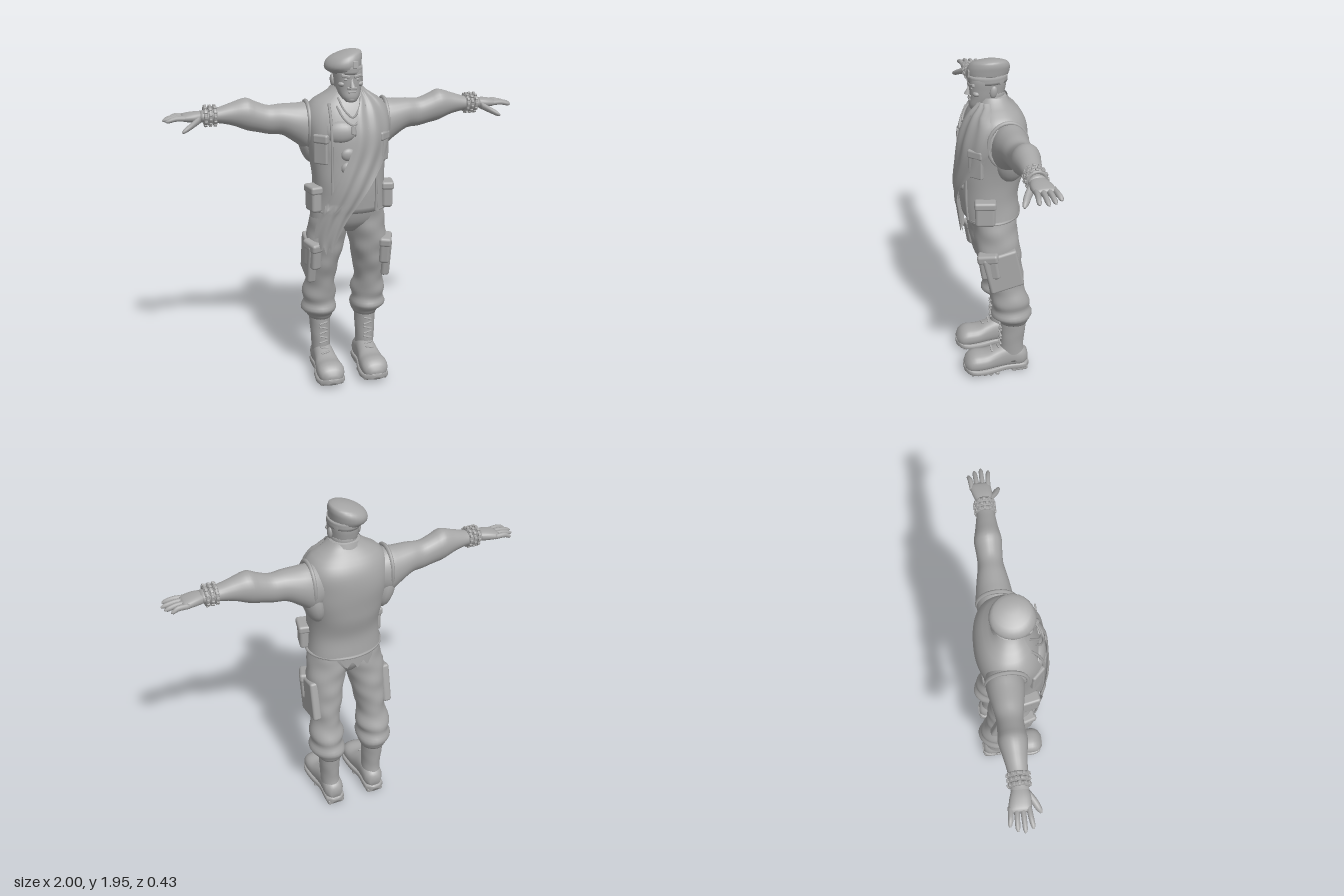
import * as THREE from 'three';
import { mergeVertices } from 'three/addons/utils/BufferGeometryUtils.js';
import { RoundedBoxGeometry } from 'three/addons/geometries/RoundedBoxGeometry.js';

const PI = Math.PI;
const clamp = THREE.MathUtils.clamp, lerp = THREE.MathUtils.lerp;

// Smooth interpolation of a table whose first column is the parameter
function sample(rows, t) {
  const last = rows.length - 1;
  t = clamp(t, rows[0][0], rows[last][0]);
  let i = 0;
  while (i < last - 1 && t > rows[i + 1][0]) i++;
  const a = rows[i], b = rows[i + 1], p = rows[Math.max(i - 1, 0)], q = rows[Math.min(i + 2, last)];
  const h = b[0] - a[0], s = (t - a[0]) / h, s2 = s * s, s3 = s2 * s;
  return a.slice(1).map((va, k) => {
    const vb = b[k + 1];
    const ma = (vb - p[k + 1]) / (b[0] - p[0]) * h, mb = (q[k + 1] - va) / (q[0] - a[0]) * h;
    return (2 * s3 - 3 * s2 + 1) * va + (s3 - 2 * s2 + s) * ma + (3 * s2 - 2 * s3) * vb + (s3 - s2) * mb;
  });
}

// Grid surface from a rule (u, v) -> [x, y, z]
function sheet(nu, nv, fn) {
  const pos = [], idx = [];
  for (let j = 0; j <= nv; j++) for (let i = 0; i <= nu; i++) pos.push(...fn(i / nu, j / nv));
  for (let j = 0; j < nv; j++) for (let i = 0; i < nu; i++) {
    const a = j * (nu + 1) + i, b = a + 1, c = a + nu + 1, d = c + 1;
    idx.push(a, b, d, a, d, c);
  }
  let g = new THREE.BufferGeometry();
  g.setAttribute('position', new THREE.Float32BufferAttribute(pos, 3));
  g.setIndex(idx);
  g = mergeVertices(g, 1e-5);
  g.computeVertexNormals();
  return g;
}

// Rounded cross-sections along an axis; rows are [t, centre1, centre2, radius1, radius2]
// y: centres are x, z    x: centres are y, z    z: centres are x, y
function loft(axis, rows, { nu = 24, nv = 24, n = 2, a0 = 0, a1 = 2 * PI, cap = true, fold = 0, freq = 40, shear = 0 } = {}) {
  const lo = rows[0][0], hi = rows[rows.length - 1][0], ends = cap ? 1 : 0, m = nv + 2 * ends;
  return sheet(nu, m, (u, v) => {
    const j = Math.round(v * m), t = lerp(lo, hi, clamp((j - ends) / nv, 0, 1));
    const [c1, c2, r1, r2] = sample(rows, t), a = lerp(a0, a1, u);
    let k = cap && (j === 0 || j === m) ? 0 : 1;
    k *= 1 + fold * Math.sin(3 * a + t * freq) + fold * 0.6 * Math.sin(2 * a - t * freq * 1.6);
    const pw = (w) => Math.sign(w) * Math.abs(w) ** (2 / n) * k;
    const p = c1 + r1 * pw(Math.cos(a)), q = c2 + r2 * pw(Math.sin(axis === 'y' ? -a : a));
    return axis === 'y' ? [p, t + shear * p, q] : axis === 'x' ? [t, p, q] : [p, q, t];
  });
}

function place(g, x, y, z, rx = 0, ry = 0, rz = 0) {
  g.applyMatrix4(new THREE.Matrix4().makeRotationFromEuler(new THREE.Euler(rx, ry, rz)));
  return g.translate(x, y, z);
}
const box = (w, h, d, ...at) => place(new RoundedBoxGeometry(w, h, d, 2, Math.min(w, h, d) * 0.3), ...at);
const ball = (rx, ry, rz, ...at) => place(new THREE.SphereGeometry(1, 18, 12).scale(rx, ry, rz), ...at);
const tube = (pts, r, closed = false) =>
  new THREE.TubeGeometry(new THREE.CatmullRomCurve3(pts.map((p) => new THREE.Vector3(...p)), closed), 40, r, 6, closed);

function mirrored(geo) {
  const g = mergeVertices(geo.clone());
  g.scale(-1, 1, 1);
  const ix = g.index.array;
  for (let i = 0; i < ix.length; i += 3) [ix[i], ix[i + 1]] = [ix[i + 1], ix[i]];
  return g;
}

const VEST = [
  [1.06, 0, 0.02, 0.215, 0.165], [1.2, 0, 0.03, 0.2, 0.17], [1.35, 0, 0.012, 0.212, 0.183], [1.5, 0, 0, 0.235, 0.184],
  [1.6, 0, -0.01, 0.232, 0.165], [1.67, 0, -0.01, 0.195, 0.13], [1.72, 0, -0.003, 0.115, 0.085], [1.75, 0, 0, 0.085, 0.075],
];
// Front of the torso at a given x and y
function frontZ(x, y) {
  const [, cz, rx, rz] = sample(VEST, y);
  const k = Math.min(Math.abs(x / rx), 0.97);
  return cz + rz * (1 - k ** 2.3) ** (1 / 2.3);
}

export function createModel() {
  const model = new THREE.Group();
  const grey = new THREE.MeshStandardMaterial({ color: 0xa6a6a6, side: THREE.DoubleSide });
  grey.name = 'plain grey';
  const add = (name, geo) => {
    const m = new THREE.Mesh(geo, grey);
    m.name = name;
    model.add(m);
  };
  const both = (name, geo) => { add(name + 'Left', geo); add(name + 'Right', mirrored(geo)); };

  // Torso, chest muscles and vest
  add('torso', loft('y', VEST.map(([y, x, z, a, b]) => [y, x, z, a * 0.94, b * 0.93]), { n: 2.3, nu: 32 }));
  both('chestMuscle', ball(0.085, 0.06, 0.035, 0.075, 1.52, 0.147, -0.15, 0.25));
  for (let i = 0; i < 3; i++) both('stomachMuscle', ball(0.04, 0.035, 0.02, 0.038, 1.4 - i * 0.075, 0.178, 0.05));
  add('vest', loft('y', VEST, { n: 2.3, nu: 48, nv: 30, a0: -PI / 2 + 0.62, a1: 1.5 * PI - 0.62, cap: false, fold: 0.006, freq: 22 }));
  both('vestEdge', tube([1.07, 1.2, 1.35, 1.5, 1.6, 1.67].map((y) => [0.125, y, frontZ(0.125, y)]), 0.008));
  const hem = [];
  for (let i = 0; i <= 30; i++) {
    const a = lerp(0.72, 2 * PI - 0.72, i / 30);
    hem.push([0.216 * Math.sin(a), 1.07, 0.02 + 0.167 * Math.cos(a)]);
  }
  add('vestHem', tube(hem, 0.009));
  add('collar', loft('y', [[1.66, 0, 0.015, 0.125, 0.115], [1.7, 0, 0.0, 0.105, 0.095], [1.75, 0, -0.005, 0.085, 0.075]],
    { nv: 6, a0: -PI / 2 + 0.7, a1: 1.5 * PI - 0.7, cap: false }));
  both('armholeTrim', place(new THREE.TorusGeometry(0.115, 0.011, 6, 28).scale(0.92, 1.1, 1), 0.222, 1.54, -0.035, 0, PI / 2, 0));

  // Vest pockets
  both('chestPocket', box(0.085, 0.15, 0.03, 0.175, 1.42, 0.125, 0, 0.8));
  both('chestPocketFlap', box(0.092, 0.05, 0.04, 0.175, 1.485, 0.127, 0, 0.8));
  both('hipPocket', box(0.06, 0.13, 0.11, 0.212, 1.135, 0.085, 0, -0.2));
  both('hipPocketFlap', box(0.07, 0.045, 0.12, 0.213, 1.197, 0.085, 0, -0.2));

  // Torn sash across the chest, and its ragged tail round the waist
  const SASH = [[0.8, -0.22, -0.12], [0.9, -0.235, -0.1], [1.02, -0.205, -0.05], [1.1, -0.17, 0], [1.25, -0.1, 0.1],
    [1.4, -0.03, 0.195], [1.5, 0, 0.232], [1.62, 0.02, 0.225], [1.69, 0.045, 0.16], [1.73, 0.05, 0.1]];
  const zig = (u, f) => Math.abs(((u * f) % 1) * 2 - 1);
  add('sash', sheet(24, 50, (u, v) => {
    const y = lerp(0.95 - 0.13 * Math.sin(u * PI * 0.75) + 0.045 * zig(u, 4), 1.73, v), [l, r] = sample(SASH, y);
    const x = lerp(l, r, u), drop = Math.max(0, 1.1 - y);
    return [x, y, frontZ(x * (y < 1.1 ? 0.85 : 1), y) + 0.014 - 0.1 * drop + 0.005 * Math.sin(u * 16 + y * 8)];
  }));
  add('raggedTail', sheet(48, 6, (u, v) => {
    const a = lerp(-0.7, -3.5, u), y = lerp(0.94 + 0.05 * zig(u, 9) + 0.05 * u, 1.1, v);
    return [0.215 * Math.sin(a), y, 0.015 + 0.155 * Math.cos(a)];
  }));

  // Necklaces with a hanging tag
  for (const [w, low] of [[0.065, 1.6], [0.08, 1.56]]) {
    add('necklace', tube([-1, -0.6, 0, 0.6, 1].map((k) => {
      const y = low + 0.1 * k * k;
      return [k * w - 0.01, y, frontZ(k * w, y) + 0.008];
    }), 0.006));
  }
  add('necklaceTag', box(0.022, 0.045, 0.009, -0.012, 1.535, frontZ(0, 1.535) + 0.014, -0.1));

  // Neck and head
  add('neck', loft('y', [[1.58, 0, -0.01, 0.1, 0.09], [1.66, 0, 0.005, 0.078, 0.075], [1.78, 0, 0.005, 0.068, 0.07]], { nv: 8 }));
  add('head', loft('y', [[1.675, -0.003, 0.085, 0.032, 0.035], [1.7, -0.003, 0.065, 0.053, 0.062], [1.74, -0.003, 0.036, 0.07, 0.088],
    [1.79, -0.003, 0.028, 0.077, 0.098], [1.84, -0.003, 0.025, 0.08, 0.1], [1.88, -0.003, 0.02, 0.07, 0.09]], { n: 2.3 }));
  add('nose', place(new THREE.ConeGeometry(0.017, 0.055, 8).scale(1, 1, 1.2), -0.003, 1.782, 0.128, -0.2));
  add('chin', ball(0.028, 0.02, 0.02, -0.003, 1.69, 0.106));
  add('mouth', box(0.045, 0.011, 0.014, -0.003, 1.73, 0.122));
  add('moustache', box(0.055, 0.014, 0.016, -0.003, 1.75, 0.122));
  for (const s of [-1, 1]) {
    add('brow', box(0.05, 0.016, 0.024, -0.003 + s * 0.032, 1.814, 0.113, 0, s * 0.3, s * 0.2));
    add('cheekbone', ball(0.022, 0.015, 0.02, -0.003 + s * 0.048, 1.77, 0.095));
    add('ear', ball(0.013, 0.033, 0.02, -0.003 + s * 0.08, 1.785, 0.01, -0.15));
    add('eye', ball(0.013, 0.007, 0.006, -0.003 + s * 0.03, 1.796, 0.117));
  }

  // Beret, sagging to one side
  add('beretBand', loft('y', [[1.822, -0.004, 0.024, 0.083, 0.105], [1.862, -0.005, 0.024, 0.084, 0.107]], { nv: 3 }));
  add('beretCrown', loft('y', [[1.845, -0.012, 0.022, 0.084, 0.104], [1.872, -0.024, 0.018, 0.1, 0.114], [1.905, -0.022, 0.014, 0.1, 0.11],
    [1.93, -0.012, 0.014, 0.078, 0.085], [1.942, -0.004, 0.014, 0.03, 0.035]], { nv: 14, shear: 0.22, nu: 28 }));
  add('beretBadge', box(0.03, 0.036, 0.009, 0.015, 1.875, 0.131, -0.1));

  // Arms, wristbands and hands
  both('arm', loft('x', [[0.13, 1.53, -0.04, 0.11, 0.09], [0.22, 1.525, -0.045, 0.135, 0.1], [0.28, 1.545, -0.045, 0.112, 0.095],
    [0.36, 1.57, -0.045, 0.086, 0.08], [0.43, 1.572, -0.045, 0.08, 0.068], [0.5, 1.592, -0.045, 0.084, 0.07],
    [0.55, 1.608, -0.045, 0.089, 0.074], [0.63, 1.613, -0.043, 0.062, 0.06], [0.71, 1.61, -0.04, 0.041, 0.049],
    [0.8, 1.608, -0.04, 0.031, 0.044]], { nv: 40 }));
  both('shoulderMuscle', ball(0.085, 0.065, 0.078, 0.285, 1.585, -0.045));
  both('sideMuscle', ball(0.06, 0.13, 0.085, 0.205, 1.44, -0.055, 0, 0, -0.2));
  for (let i = 0; i < 3; i++) {
    const x = 0.722 + i * 0.025;
    both('wristband', place(new THREE.TorusGeometry(0.044, 0.012, 6, 20), x, 1.61, -0.04, 0, PI / 2, 0));
    for (let k = 0; k < 12; k++) {
      const a = (k + i * 0.5) * PI / 6;
      both('wristStud', box(0.016, 0.013, 0.016, x, 1.61 + 0.054 * Math.cos(a), -0.04 + 0.054 * Math.sin(a), a));
    }
  }
  both('palm', loft('x', [[0.78, 1.608, -0.04, 0.028, 0.038], [0.83, 1.608, -0.043, 0.028, 0.052], [0.88, 1.606, -0.05, 0.022, 0.056],
    [0.9, 1.605, -0.052, 0.015, 0.052]], { nv: 10, n: 2.4 }));
  [[-0.094, 0.965, -0.012], [-0.066, 0.99, -0.006], [-0.037, 1, 0], [-0.01, 0.985, 0.012]].forEach(([z, end, fan]) => both('finger',
    loft('x', [[0.87, 1.606, z, 0.015, 0.015], [0.93, 1.608, z + fan * 0.5, 0.014, 0.0135], [end - 0.01, 1.598, z + fan, 0.011, 0.011],
      [end, 1.596, z + fan, 0.004, 0.005]], { nu: 10, nv: 8 })));
  both('thumb', loft('x', [[0.8, 1.6, -0.015, 0.022, 0.022], [0.85, 1.573, 0.022, 0.018, 0.02], [0.89, 1.552, 0.043, 0.014, 0.015],
    [0.905, 1.545, 0.05, 0.005, 0.006]], { nu: 10, nv: 10 }));

  // Trousers
  add('hips', loft('y', [[0.93, 0, 0, 0.06, 0.08], [0.99, 0, 0.008, 0.18, 0.122], [1.1, 0, 0.02, 0.2, 0.145]], { nv: 10, n: 2.3 }));
  add('belt', loft('y', [[1.07, 0, 0.018, 0.205, 0.15], [1.11, 0, 0.02, 0.205, 0.152]], { nv: 3, n: 2.3 }));
  both('trouserLeg', loft('y', [[0.355, 0.14, -0.1, 0.07, 0.08], [0.38, 0.142, -0.1, 0.085, 0.09], [0.42, 0.15, -0.085, 0.104, 0.124],
    [0.47, 0.15, -0.08, 0.092, 0.106], [0.52, 0.15, -0.076, 0.102, 0.112], [0.6, 0.148, -0.055, 0.084, 0.102],
    [0.7, 0.14, -0.037, 0.09, 0.114], [0.85, 0.128, -0.01, 0.11, 0.124], [0.98, 0.108, 0.004, 0.112, 0.124],
    [1.08, 0.1, 0.018, 0.103, 0.122]], { nv: 48, nu: 28, fold: 0.022, freq: 34 }));
  both('thighPocket', box(0.05, 0.24, 0.2, 0.222, 0.765, -0.015, 0.22));
  both('cargoPocket', box(0.06, 0.13, 0.11, 0.215, 0.79, 0.06, 0.15, -0.35));
  both('cargoPocketFlap', box(0.07, 0.055, 0.12, 0.215, 0.86, 0.07, 0.15, -0.35));

  // Boots
  both('bootShaft', loft('y', [[0.08, 0.135, -0.1, 0.058, 0.08], [0.18, 0.138, -0.09, 0.055, 0.072], [0.28, 0.14, -0.095, 0.06, 0.074],
    [0.39, 0.142, -0.1, 0.064, 0.08]], { nv: 12, fold: 0.012 }));
  both('bootFoot', loft('z', [[-0.185, 0.132, 0.09, 0.035, 0.04], [-0.15, 0.133, 0.095, 0.058, 0.065], [-0.06, 0.133, 0.11, 0.06, 0.08],
    [0.01, 0.133, 0.1, 0.066, 0.07], [0.07, 0.133, 0.09, 0.076, 0.058], [0.14, 0.133, 0.09, 0.08, 0.058],
    [0.18, 0.133, 0.082, 0.066, 0.045], [0.2, 0.133, 0.075, 0.035, 0.02]], { nv: 24, n: 2.3 }));
  both('bootSole', loft('z', [[-0.193, 0.132, 0.037, 0.03, 0.02], [-0.17, 0.132, 0.037, 0.058, 0.021], [-0.05, 0.132, 0.037, 0.058, 0.02],
    [0.05, 0.133, 0.036, 0.078, 0.02], [0.14, 0.133, 0.042, 0.085, 0.02], [0.185, 0.133, 0.048, 0.066, 0.02],
    [0.204, 0.133, 0.053, 0.03, 0.018]], { nv: 18, n: 4 }));
  both('bootHeel', box(0.105, 0.036, 0.1, 0.132, 0.018, -0.135));
  for (let i = 0; i < 5; i++) for (const s of [-1, 0, 1]) {
    both('soleLug', box(0.04, 0.022, 0.024, 0.133 + s * 0.05, 0.016 + i * i * 0.0008, 0.01 + i * 0.037));
  }
  for (let i = 0; i < 7; i++) {
    const low = i < 2, y = low ? 0.165 + i * 0.012 : 0.15 + i * 0.03, z = low ? 0.035 - i * 0.04 : -0.017 - i * 0.0005;
    both('bootLace', box(0.052, 0.009, 0.012, 0.137, y, z, 0, 0, i % 2 ? 0.25 : -0.25));
  }
  return model;
}
